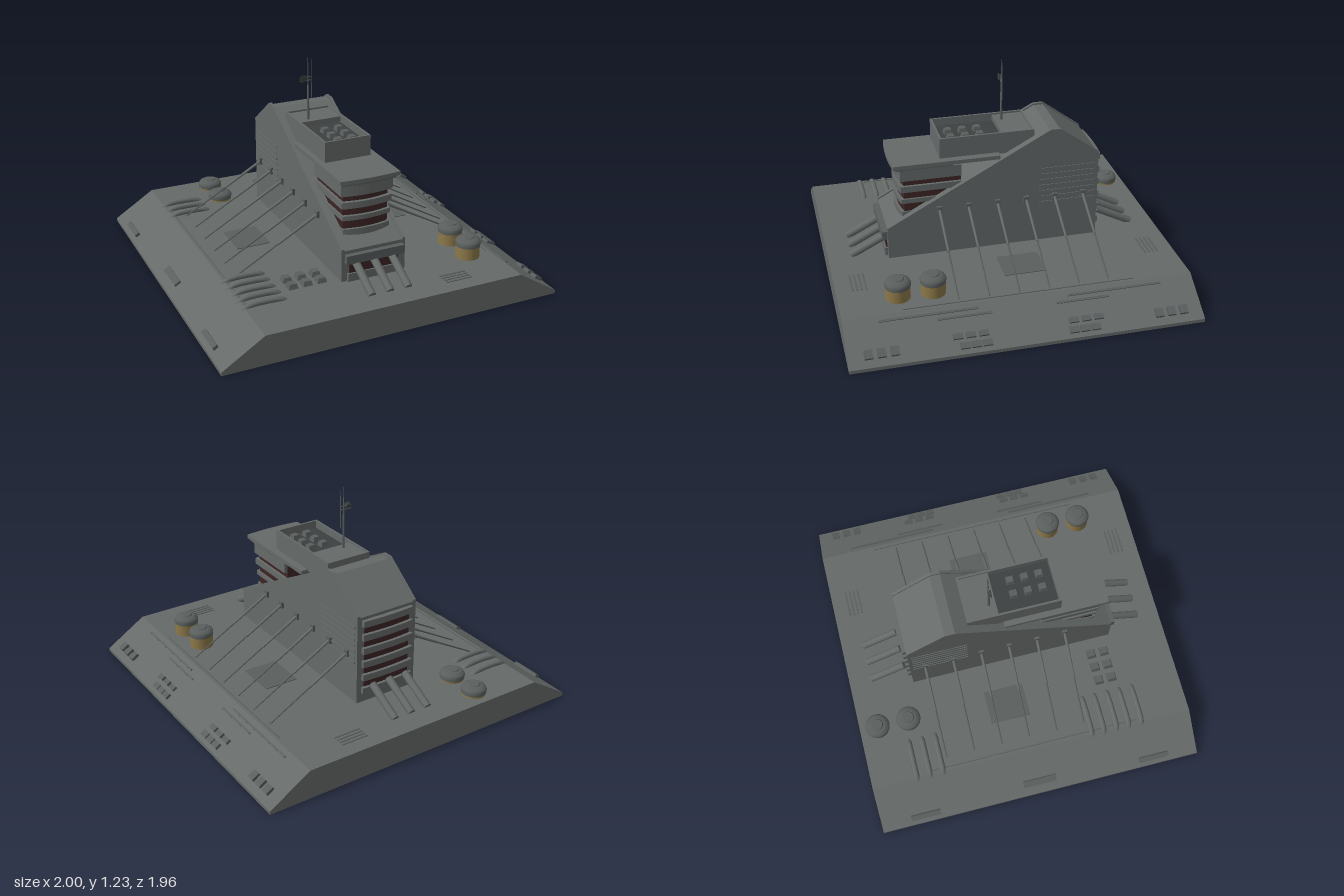
import * as THREE from 'three';

const mat = (name, color, side = THREE.FrontSide) => {
  const m = new THREE.MeshStandardMaterial({ color, side });
  m.name = name;
  return m;
};

export function createModel() {
  const hull = mat('hull grey', 0x656a69, THREE.DoubleSide);
  const trim = mat('trim grey', 0x5a5f5e);
  const dark = mat('dark grey', 0x3c4040);
  const glass = mat('dark red windows', 0x3d2525);
  const tan = mat('tan tank', 0x8c7848);
  const model = new THREE.Group();
  const DECK = 0.172, CX = 0.017;

  const add = (name, geo, material, x = 0, y = 0, z = 0, parent = model) => {
    const m = new THREE.Mesh(geo, material);
    m.name = name;
    m.position.set(x, y, z);
    parent.add(m);
    return m;
  };
  const box = (name, material, w, h, d, x, y, z, parent) =>
    add(name, new THREE.BoxGeometry(w, h, d), material, x, y, z, parent);
  // tapered rod between two points
  const rod = (name, material, a, b, r0, r1 = r0, parent = model) => {
    const p = new THREE.Vector3(...a), q = new THREE.Vector3(...b);
    const dir = q.clone().sub(p);
    const m = add(name, new THREE.CylinderGeometry(r1, r0, dir.length(), 12), material, 0, 0, 0, parent);
    m.position.copy(p).add(q).multiplyScalar(0.5);
    m.quaternion.setFromUnitVectors(new THREE.Vector3(0, 1, 0), dir.normalize());
    return m;
  };
  // side profile of [z, y] points extruded across x
  const prism = (pts, width) => {
    const s = new THREE.Shape(pts.map(p => new THREE.Vector2(...p)));
    const g = new THREE.ExtrudeGeometry(s, { depth: width, bevelEnabled: false });
    return g.rotateY(-Math.PI / 2).translate(width / 2, 0, 0);
  };
  // floor slab whose end at z1 bulges outwards
  const slab = (half, z0, z1, y0, y1, bulge) => {
    const s = new THREE.Shape();
    s.moveTo(-half, -z0);
    s.lineTo(-half, -(z1 - bulge * Math.sign(z1 - z0)));
    s.quadraticCurveTo(0, -(z1 + bulge * Math.sign(z1 - z0)), half, -(z1 - bulge * Math.sign(z1 - z0)));
    s.lineTo(half, -z0);
    const g = new THREE.ExtrudeGeometry(s, { depth: y1 - y0, bevelEnabled: false, curveSegments: 10 });
    return g.rotateX(-Math.PI / 2).translate(0, y0, 0);
  };

  // Base: open-bottomed shell with sloping sides
  const section = [[-1, 0], [-1, 0.02], [-0.76, DECK], [0.76, DECK], [1, 0.02], [1, 0]];
  const pos = [];
  const tri = (...v) => v.forEach(p => pos.push(...p));
  for (let i = 0; i < 5; i++) {
    const [a, b] = [section[i], section[i + 1]];
    const [af, bf, bb, ab] = [[...a, 0.98], [...b, 0.98], [...b, -0.98], [...a, -0.98]];
    tri(af, bf, bb, af, bb, ab);
  }
  for (let i = 1; i < 5; i++) {
    const [o, a, b] = [section[0], section[i], section[i + 1]];
    tri([...o, 0.98], [...b, 0.98], [...a, 0.98], [...o, -0.98], [...a, -0.98], [...b, -0.98]);
  }
  const baseGeo = new THREE.BufferGeometry();
  baseGeo.setAttribute('position', new THREE.Float32BufferAttribute(pos, 3));
  baseGeo.computeVertexNormals();
  add('base', baseGeo, hull);

  // Boxes lying on the sloping sides
  const onSlope = (name, x, z, w, d, h = 0.02, m = trim) => {
    const s = Math.sign(x), y = 0.02 + (1 - Math.abs(x)) * 0.152 / 0.24;
    box(name, m, w, h, d, x, y, z).rotation.z = -s * Math.atan2(0.152, 0.24);
  };
  for (const s of [-1, 1]) {
    for (const z of [0.73, 0.8, 0.87]) onSlope('slopeBox', 0.94, s * z, 0.05, 0.045, 0.035);
    for (const z of [0.25, 0.32, 0.39]) onSlope('slopeBox', 0.915, s * z, 0.03, 0.052, 0.03);
    for (const z of [0.24, 0.3, 0.36]) onSlope('slopeBox', 0.962, s * z, 0.035, 0.052, 0.03);
    onSlope('slopeStrip', 0.79, s * 0.52, 0.012, 0.54, 0.012);
    onSlope('slopeStrip', 0.82, s * 0.33, 0.012, 0.3, 0.012);
    onSlope('slopePlate', -0.96, s * 0.71, 0.03, 0.18, 0.035);
  }
  onSlope('slopePlate', -0.935, 0, 0.04, 0.2, 0.025);

  // Thin deck plates and vents
  for (const s of [-1, 1]) {
    for (let i = 0; i < 4; i++) box('deckVent', trim, 0.16, 0.006, 0.01, 0.42, DECK, s * (0.81 + i * 0.025));
    box('deckSeam', trim, 0.006, 0.006, 1.3, s * 0.74, DECK, 0);
    box('deckPlate', trim, 0.2, 0.008, 0.24, s * 0.45, DECK, -0.08);
  }

  // Tower: sloping core between two taller side plates
  const profile = [[0.64, 0.16], [0.64, 0.365], [-0.31, 0.88], [-0.37, 0.88], [-0.6, 0.71], [-0.6, 0.16]];
  const tower = new THREE.Group();
  tower.name = 'tower';
  tower.position.x = CX;
  model.add(tower);
  add('towerCore', prism(profile, 0.36), hull, 0, -0.01, 0, tower);
  for (const s of [-1, 1]) {
    add('sideWall', prism(profile, 0.018), hull, s * 0.186, 0, 0, tower);
    for (let i = 0; i < 7; i++)
      box('wallRib', hull, 0.006, 0.014, 0.33, s * 0.196, 0.42 + i * 0.036, -0.415, tower);
  }

  // Front bridge: dark window body with projecting floors
  add('frontWindows', slab(0.136, 0.2, 0.55, 0.35, 0.71, 0.02), glass, 0, 0, 0, tower);
  for (const [y0, y1, e] of [[0.36, 0.435, 0], [0.488, 0.515, 0.005], [0.56, 0.598, 0.01], [0.635, 0.705, 0.015]])
    add('frontFloor', slab(0.142 + e, 0.2, 0.565 + e / 2, y0, y1, 0.02), hull, 0, 0, 0, tower);
  add('bridgeDeckUnder', slab(0.165, 0.25, 0.59, 0.705, 0.725, 0.012), trim, 0, 0, 0, tower);
  add('bridgeDeck', slab(0.18, -0.02, 0.605, 0.722, 0.745, 0.012), hull, 0, 0, 0, tower);

  // Open-topped roof house with parapet
  add('roofHouseFloor', new THREE.BoxGeometry(0.27, 0.08, 0.54), dark, -0.005, 0.78, 0.045, tower);
  for (const s of [-1, 1]) {
    box('parapetSide', hull, 0.012, 0.13, 0.55, -0.005 + s * 0.135, 0.8, 0.045, tower);
    box('parapetEnd', hull, 0.28, 0.13, 0.012, -0.005, 0.8, 0.045 + s * 0.269, tower);
  }
  box('roofHousePanel', hull, 0.26, 0.03, 0.18, -0.005, 0.84, -0.135, tower);

  // Truncated vents on the roof and deck
  const vent = (x, y, z, size) => {
    const g = new THREE.CylinderGeometry(size * 0.5, size * 0.7, 0.03, 4).toNonIndexed();
    g.rotateY(Math.PI / 4).computeVertexNormals();
    add('vent', g, trim, x, y, z);
  };
  for (const x of [-0.01, 0.075]) for (const z of [0.07, 0.155, 0.24]) vent(x, 0.833, z, 0.05);
  for (const x of [-0.445, -0.36, -0.275]) for (const z of [0.5, 0.58]) vent(x, DECK + 0.013, z, 0.058);

  // Rear window stack
  add('rearWindows', slab(0.15, -0.55, -0.61, 0.24, 0.68, 0.008), glass, 0, 0, 0, tower);
  for (let i = 0; i < 6; i++) {
    const y = 0.23 + i * 0.083;
    add('rearFloor', slab(0.165, -0.55, -0.628, y, y + 0.038, 0.008), hull, 0, 0, 0, tower);
  }

  // Front lip, lower window and raking pipes at both ends
  box('frontLip', trim, 0.35, 0.05, 0.05, 0, 0.31, 0.645, tower);
  box('frontBase', hull, 0.32, 0.06, 0.04, 0, 0.19, 0.635, tower);
  box('lowerWindow', glass, 0.3, 0.06, 0.008, 0, 0.25, 0.642, tower);
  for (const s of [-1, 1]) for (const x of [-0.11, 0, 0.11])
    rod('rakingPipe', hull, [x, 0.175, s * 0.845], [x, 0.285, s * 0.63], 0.022, 0.022, tower);

  // Bracing struts along both sides
  for (const s of [-1, 1]) for (let i = 0; i < 6; i++) {
    const z = -0.51 + i * 0.17;
    rod('strutSleeve', hull, [s * 0.44, 0.318, z], [s * 0.19, 0.46, z], 0.007, 0.009, tower);
    rod('strutRod', trim, [s * 0.7, DECK, z], [s * 0.44, 0.318, z], 0.004, 0.005, tower);
    box('strutMount', trim, 0.02, 0.04, 0.03, s * 0.2, 0.455, z, tower);
  }

  // Storage tanks: tan wall and chamfered grey cap
  const capProfile = [[0.071, 0], [0.073, 0.02], [0.066, 0.033], [0.045, 0.045], [0, 0.047]]
    .map(p => new THREE.Vector2(...p));
  const tank = (x, z, y) => {
    add('tankWall', new THREE.CylinderGeometry(0.069, 0.069, 0.09, 32), tan, x, y + 0.035, z);
    add('tankCap', new THREE.LatheGeometry(capProfile, 32), trim, x, y + 0.075, z);
    add('tankHatch', new THREE.CylinderGeometry(0.032, 0.036, 0.006, 24), trim, x, y + 0.123, z);
  };
  for (const z of [0.46, 0.655]) tank(0.612, z, 0.168);
  for (const z of [-0.87, -0.68]) tank(-0.4, z, 0.108);

  // Curved ducts on the right edge of the deck
  const path = new THREE.CatmullRomCurve3([[-0.775, 0.14], [-0.74, 0.175], [-0.63, 0.184], [-0.55, 0.175], [-0.52, 0.155]]
    .map(([x, y]) => new THREE.Vector3(x, y, 0)));
  const duct = new THREE.TubeGeometry(path, 20, 0.017, 10);
  for (const z of [-0.71, -0.63, -0.55, 0.37, 0.445, 0.525, 0.6, 0.68]) add('duct', duct, hull, 0, 0, z);

  // Mast with aerial and dish
  const mast = new THREE.Group();
  mast.name = 'mast';
  mast.position.set(-0.048, 0, -0.085);
  model.add(mast);
  rod('mastLower', trim, [0, 0.84, 0], [0, 1.06, 0], 0.008, 0.005, mast);
  rod('mastUpper', trim, [0, 1.06, 0], [0, 1.225, 0], 0.004, 0.002, mast);
  rod('aerial', trim, [0.021, 0.985, 0], [0.021, 1.21, 0], 0.003, 0.002, mast);
  for (const y of [1.09, 1.11]) rod('crossbar', trim, [-0.05, y, 0], [0.022, y, 0], 0.003, 0.003, mast);
  rod('dish', dark, [-0.032, 1.107, -0.006], [-0.032, 1.107, 0.008], 0.012, 0.023, mast);
  return model;
}
